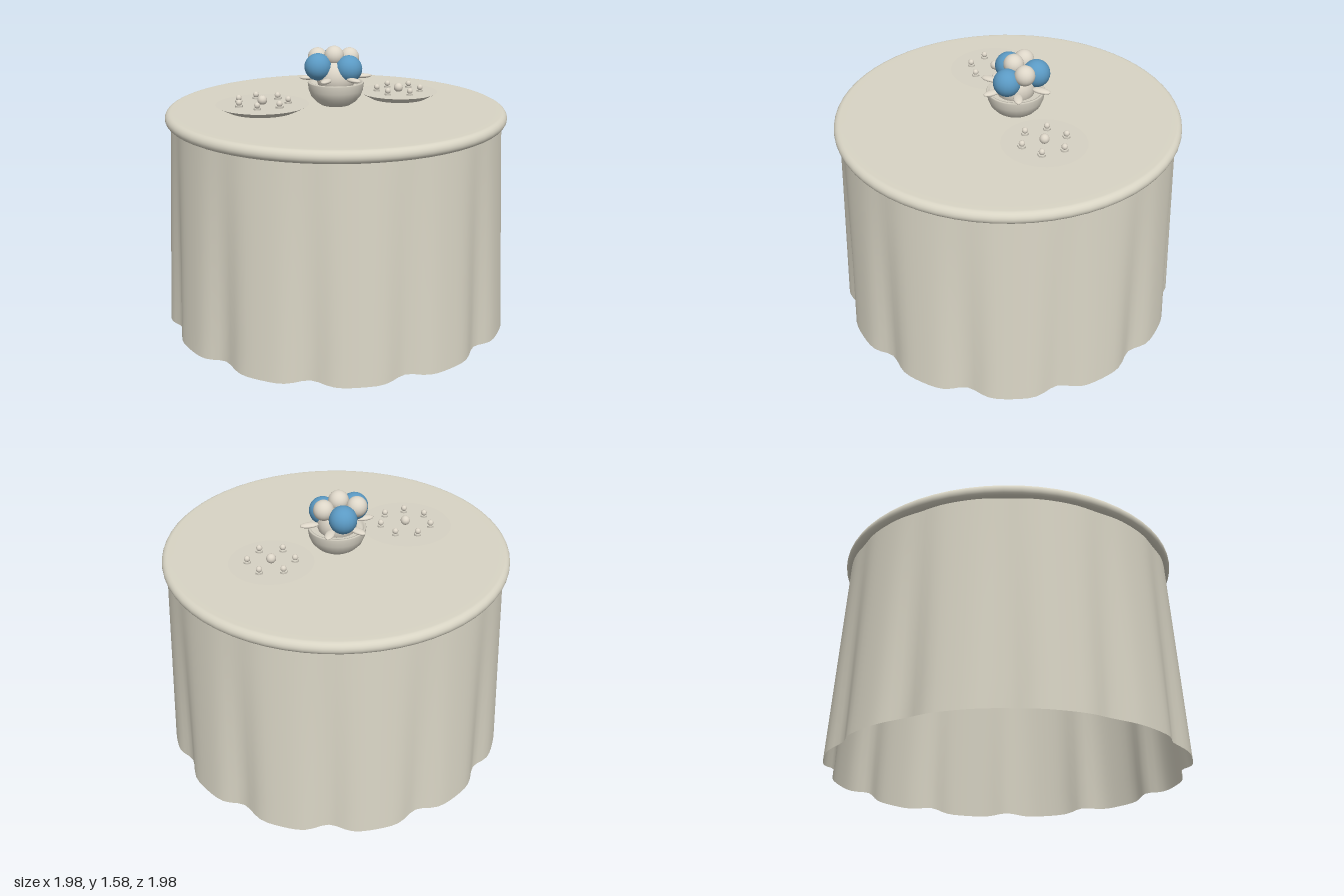
import * as THREE from 'three';

const cloth = new THREE.MeshStandardMaterial({ name: 'cream cloth', color: 0xd8d4c4 });
const clothOpen = new THREE.MeshStandardMaterial({ name: 'cream cloth skirt', color: 0xd8d4c4, side: THREE.DoubleSide });
const china = new THREE.MeshStandardMaterial({ name: 'ivory china', color: 0xd6d1c3 });
const ivory = new THREE.MeshStandardMaterial({ name: 'ivory petal', color: 0xddd6c8 });
const blue = new THREE.MeshStandardMaterial({ name: 'blue bloom', color: 0x5b9ac4 });

function add(parent, name, geometry, material, x = 0, y = 0, z = 0) {
  const mesh = new THREE.Mesh(geometry, material);
  mesh.name = name;
  mesh.position.set(x, y, z);
  parent.add(mesh);
  return mesh;
}

const lathe = (points, segments) =>
  new THREE.LatheGeometry(points.map(([r, y]) => new THREE.Vector2(r, y)), segments);

// Hanging cloth: open tube with twelve folds that deepen towards the hem
function skirtGeometry() {
  const height = 1.19;
  const geometry = new THREE.CylinderGeometry(1, 1, height, 144, 8, true);
  const pos = geometry.attributes.position;
  for (let i = 0; i < pos.count; i++) {
    const angle = Math.atan2(pos.getZ(i), pos.getX(i));
    const drop = 0.5 - pos.getY(i) / height;
    const groove = Math.pow(Math.cos(6 * angle), 6);
    const r = 0.94 + 0.066 * drop - (0.008 + 0.037 * drop) * groove;
    const y = height * (1 - drop) + 0.015 * groove * drop;
    pos.setXYZ(i, r * Math.cos(angle), y, r * Math.sin(angle));
  }
  geometry.computeVertexNormals();
  // Match the normals across the seam
  const n = geometry.attributes.normal;
  for (let row = 0; row <= 8; row++) {
    const a = row * 145, b = a + 144;
    const v = new THREE.Vector3().fromBufferAttribute(n, a)
      .add(new THREE.Vector3().fromBufferAttribute(n, b)).normalize();
    n.setXYZ(a, v.x, v.y, v.z);
    n.setXYZ(b, v.x, v.y, v.z);
  }
  return geometry;
}

// Plate with a ring of small sweets, each on a six-sided base
function createPlate(name, x, z, radius, count, ring) {
  const plate = new THREE.Group();
  plate.name = name;
  plate.position.set(x, 1.245, z);
  add(plate, 'dish', new THREE.CylinderGeometry(radius, radius * 0.72, 0.036, 24), china, 0, 0.018, 0);
  add(plate, 'middleSweet', new THREE.SphereGeometry(0.027, 16, 10), ivory, 0, 0.058, 0);
  for (let i = 0; i < count; i++) {
    const a = (i / count) * Math.PI * 2 - 0.1;
    const px = ring * Math.cos(a), pz = ring * Math.sin(a);
    add(plate, 'sweetBase', new THREE.CylinderGeometry(0.022, 0.022, 0.012, 6), china, px, 0.04, pz);
    add(plate, 'sweet', new THREE.SphereGeometry(0.017, 12, 8), ivory, px, 0.06, pz);
  }
  return plate;
}

// Bowl of round blooms with a collar of petals
function createCentrepiece() {
  const group = new THREE.Group();
  group.name = 'centrepiece';
  group.position.set(0.03, 0, -0.03);
  add(group, 'bowl', lathe([
    [0, 1.245], [0.085, 1.245], [0.115, 1.265], [0.142, 1.295], [0.156, 1.33], [0.162, 1.372],
    [0.158, 1.378], [0.146, 1.376], [0.14, 1.36], [0, 1.36],
  ], 32), china);
  add(group, 'flowerBase', new THREE.SphereGeometry(0.11, 24, 16), ivory, 0, 1.4, 0);

  for (let i = 0; i < 6; i++) {
    const a = -0.31 + (i * Math.PI) / 3;
    const petal = add(group, 'petal', new THREE.SphereGeometry(1, 14, 10), ivory,
      0.155 * Math.cos(a), 1.405, 0.155 * Math.sin(a));
    petal.scale.set(0.055, 0.013, 0.026);
    petal.rotation.y = -a;
  }

  for (const [x, y, z] of [[-0.1, 1.47, -0.05], [0.075, 1.473, -0.085], [0.013, 1.457, 0.083]])
    add(group, 'blueBloom', new THREE.SphereGeometry(0.077, 20, 14), blue, x, y, z);
  for (const [x, y, z] of [[-0.035, 1.51, -0.105], [-0.016, 1.527, 0], [0.092, 1.507, 0.027]])
    add(group, 'ivoryBloom', new THREE.SphereGeometry(0.057, 20, 14), ivory, x, y, z);
  return group;
}

export function createModel() {
  const model = new THREE.Group();
  model.name = 'dressedTable';

  add(model, 'clothSkirt', skirtGeometry(), clothOpen);

  // Round top with a half-round edge; the rim points run from bottom to top
  const rim = [];
  for (let i = 0; i <= 10; i++) {
    const a = -Math.PI / 2 + (i / 10) * Math.PI;
    rim.push([0.935 + 0.035 * Math.cos(a), 1.21 + 0.035 * Math.sin(a)]);
  }
  add(model, 'tableTop', lathe([[0, 1.175], [0.9, 1.175], ...rim, [0.9, 1.245], [0, 1.245]], 64), cloth, -0.003, 0, -0.003);

  model.add(createPlate('largePlate', -0.35, -0.255, 0.263, 7, 0.145));
  model.add(createPlate('smallPlate', 0.405, 0.15, 0.232, 6, 0.128));
  model.add(createCentrepiece());
  return model;
}
